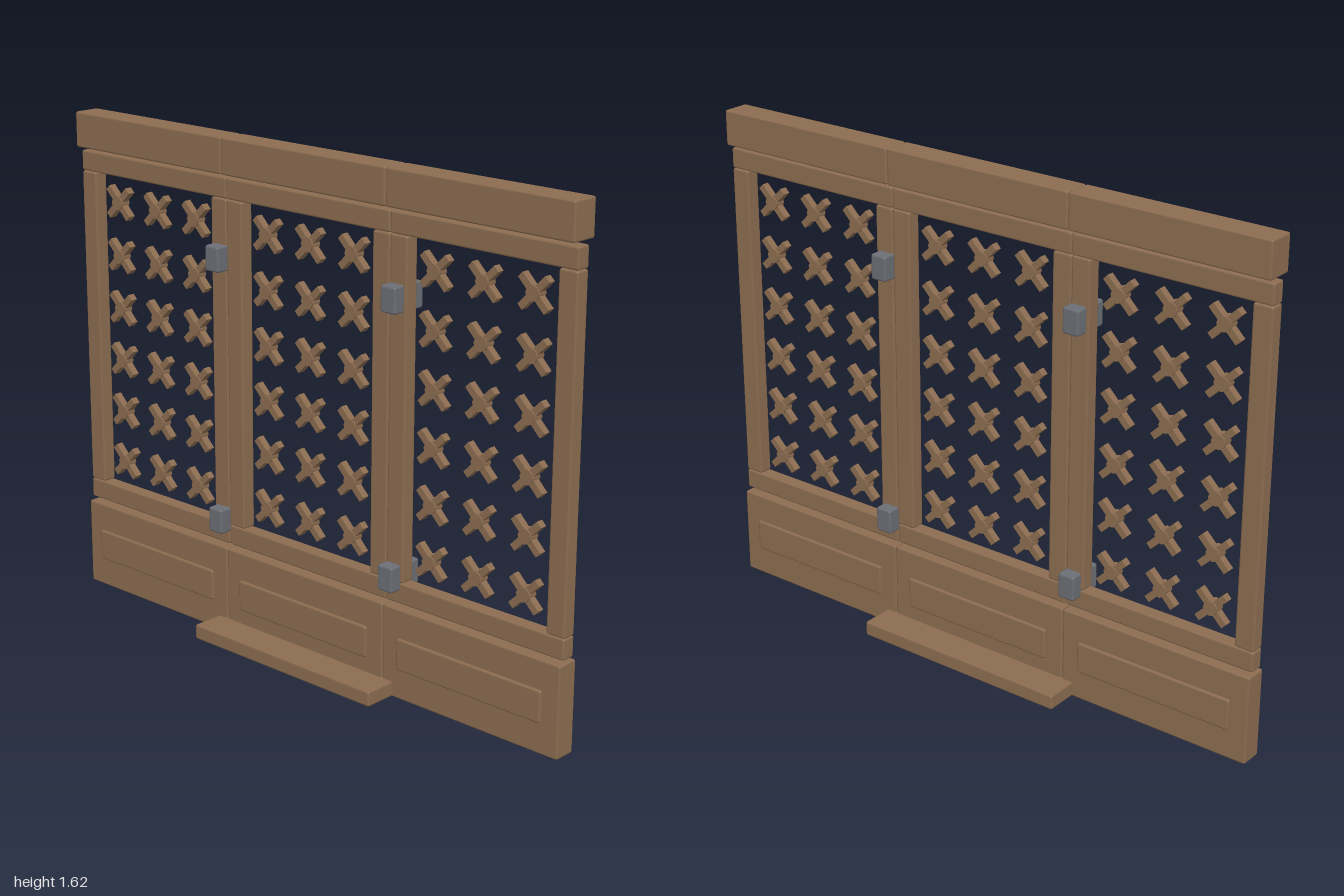
import * as THREE from 'three';
import { RoundedBoxGeometry } from 'three/addons/geometries/RoundedBoxGeometry.js';

const wood = new THREE.MeshStandardMaterial({ color: 0x8b6c50 });
wood.name = 'brown wood';
const iron = new THREE.MeshStandardMaterial({ color: 0x6b6e75 });
iron.name = 'grey iron';

// Box with softened edges, placed by its centre
function block(parent, name, w, h, d, x, y, z = 0, material = wood, bevel = 0.007) {
  const mesh = new THREE.Mesh(new RoundedBoxGeometry(w, h, d, 1, bevel), material);
  mesh.name = name;
  mesh.position.set(x, y, z);
  parent.add(mesh);
  return mesh;
}

// Lattice motif: two crossed bars with a small boss in the middle
const barGeometry = new THREE.BoxGeometry(0.13, 0.022, 0.024);
const bossGeometry = new THREE.CylinderGeometry(0.024, 0.024, 0.034, 8).rotateX(Math.PI / 2);

function latticeCross(x, y) {
  const cross = new THREE.Group();
  cross.name = 'latticeCross';
  for (const side of [-1, 1]) {
    const bar = new THREE.Mesh(barGeometry, wood);
    bar.name = 'latticeBar';
    bar.rotation.z = side * Math.PI / 4;
    cross.add(bar);
  }
  const boss = new THREE.Mesh(bossGeometry, wood);
  boss.name = 'latticeBoss';
  cross.add(boss);
  cross.position.set(x, y, 0);
  return cross;
}

const PANEL = 2 / 3;

function screenPanel(x) {
  const panel = new THREE.Group();
  panel.name = 'screenPanel';
  panel.position.x = x;
  const width = PANEL - 0.002;

  // Solid base with a raised field on both faces
  block(panel, 'basePanel', width, 0.293, 0.075, 0, 0.1465);
  block(panel, 'raisedField', 0.545, 0.103, 0.092, 0, 0.149);

  // Frame
  block(panel, 'lowerRail', width, 0.067, 0.048, 0, 0.337);
  block(panel, 'upperRail', width, 0.067, 0.048, 0, 1.464);
  for (const side of [-1, 1]) {
    block(panel, 'stile', 0.065, 1.06, 0.048, side * (PANEL / 2 - 0.0335), 0.9);
  }

  // Top beam
  block(panel, 'topBeam', width, 0.116, 0.092, 0, 1.567);

  // Lattice
  for (let row = 0; row < 6; row++) {
    for (let col = -1; col <= 1; col++) {
      panel.add(latticeCross(col * 0.176, 0.46 + row * 0.1763));
    }
  }
  return panel;
}

export function createModel() {
  const model = new THREE.Group();
  model.name = 'latticeScreen';

  for (const i of [-1, 0, 1]) model.add(screenPanel(i * PANEL));

  // Foot under the middle panel
  block(model, 'foot', 0.75, 0.05, 0.288, 0, 0.025);

  // Hinges wrapped around the outer stiles at the seams
  for (const side of [-1, 1]) {
    for (const y of [0.387, 1.245]) {
      block(model, 'hinge', 0.058, 0.083, 0.126, side * 0.361, y, 0, iron, 0.008);
    }
  }
  return model;
}
